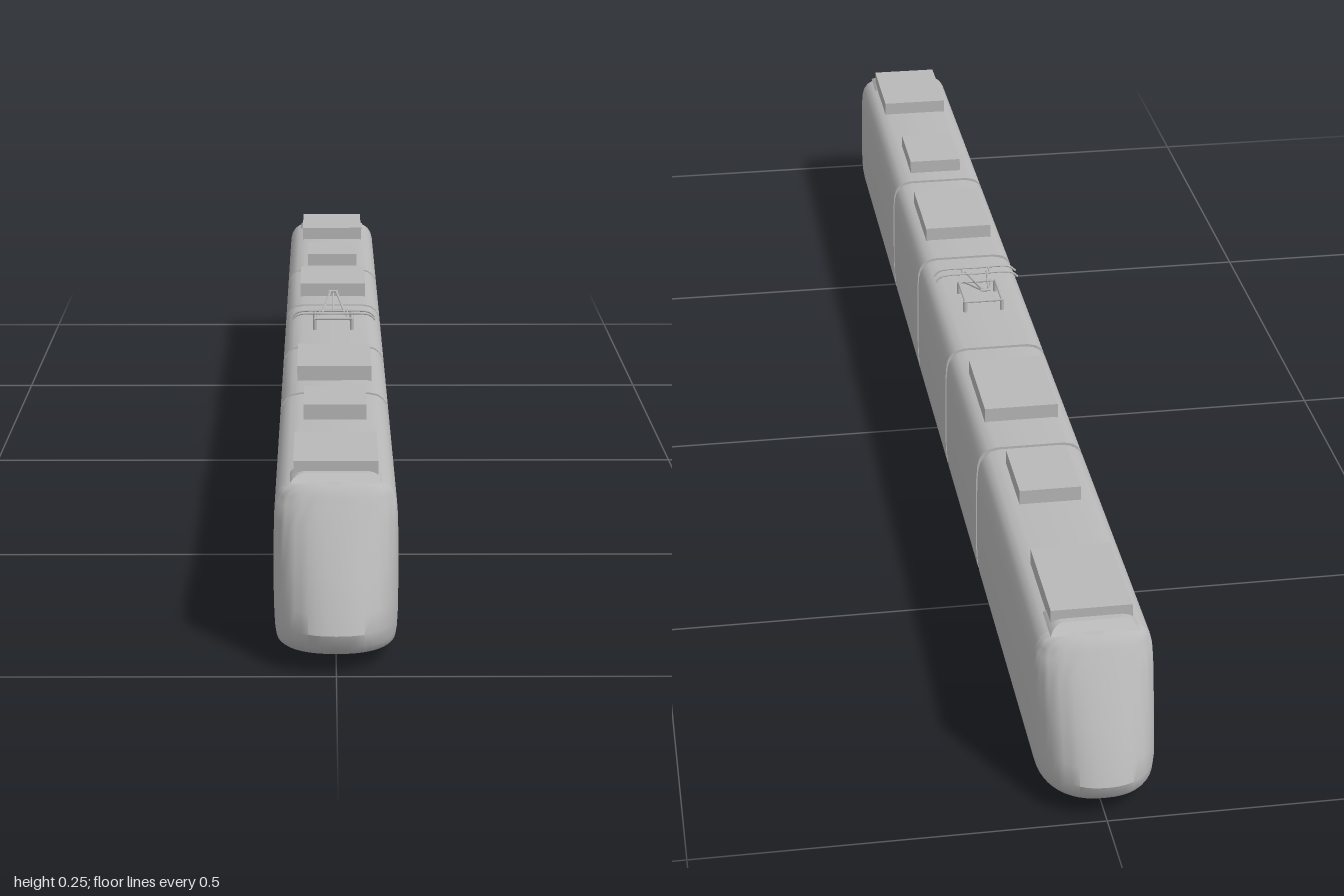
import * as THREE from 'three';
import { toCreasedNormals } from 'three/addons/utils/BufferGeometryUtils.js';

// Body side profile: height, half width, z of the nose tip at that height
const PROFILE = [
  [0.018, 0, 0.972], [0.018, 0.068, 0.972], [0.022, 0.0705, 0.984], [0.032, 0.072, 0.995],
  [0.048, 0.073, 1.0], [0.07, 0.0735, 0.991], [0.11, 0.0735, 0.969], [0.16, 0.073, 0.94],
  [0.18, 0.0715, 0.927], [0.19, 0.069, 0.921], [0.198, 0.064, 0.915], [0.203, 0.057, 0.909],
  [0.2055, 0.045, 0.905], [0.2055, 0, 0.905],
];

// Closed hull: each profile level is a loop of [x fraction, z] columns
function hull(columnsAt) {
  const rows = PROFILE.map(([y, w, tip]) => columnsAt(tip).map(([f, z]) => [f * w, y, z]));
  const n = rows[0].length, index = [];
  for (let i = 0; i < rows.length - 1; i++) {
    for (let j = 0; j < n; j++) {
      const a = i * n + j, b = i * n + (j + 1) % n;
      index.push(a, a + n, b, b, a + n, b + n);
    }
  }
  const g = new THREE.BufferGeometry();
  g.setAttribute('position', new THREE.Float32BufferAttribute(rows.flat(2), 3));
  g.setIndex(index);
  return toCreasedNormals(g, 0.6);
}

// Straight car section between two z values
const straight = (z0, z1) => hull(() => [[1, z0], [1, z1], [-1, z1], [-1, z0]]);

// End car with a rounded, raked nose
const cab = (z0) => hull((tip) => {
  const start = 0.89, cols = [[1, z0]];
  for (let k = 0; k <= 24; k++) {
    const t = Math.PI * k / 24, c = Math.cos(t), s = Math.max(0, Math.sin(t));
    cols.push([Math.sign(c) * Math.abs(c) ** 0.85, start + (tip - start) * s ** 0.85]);
  }
  cols.push([-1, z0]);
  return cols;
});

export function createModel() {
  const tram = new THREE.Group();
  tram.name = 'tram';
  const grey = new THREE.MeshStandardMaterial({ color: 0xb8b8b8 });
  grey.name = 'grey';

  const add = (name, geometry, x = 0, y = 0, z = 0, parent = tram) => {
    const m = new THREE.Mesh(geometry, grey);
    m.name = name;
    m.position.set(x, y, z);
    parent.add(m);
    return m;
  };

  // Car bodies
  const gap = 0.005, J1 = 0.152, J2 = 0.445;
  add('centreCar', straight(-J1 + gap, J1 - gap));
  for (const s of [1, -1]) {
    const end = new THREE.Group();
    end.name = s > 0 ? 'frontHalf' : 'rearHalf';
    end.rotation.y = s > 0 ? 0 : Math.PI;
    tram.add(end);
    add('middleCar', straight(J1 + gap, J2 - gap), 0, 0, 0, end);
    add('endCar', cab(J2 + gap), 0, 0, 0, end);

    // Recessed bellows between cars
    for (const z of [J1, J2]) {
      add('bellows', straight(-0.008, 0.008), 0, 0.005, z, end).scale.set(0.95, 0.96, 1);
    }

    // Roof equipment boxes: half width, z centre, length
    for (const [w, z, l] of [[0.05, 0.808, 0.145], [0.04, 0.538, 0.11], [0.05, 0.295, 0.145]]) {
      add('roofBox', new THREE.BoxGeometry(w * 2, 0.022, l), 0, 0.214, z, end);
    }

    // Low arched fairing above the cab
    const arch = new THREE.Shape();
    arch.moveTo(-0.054, 0);
    arch.quadraticCurveTo(-0.047, 0.009, -0.034, 0.009);
    arch.lineTo(0.034, 0.009);
    arch.quadraticCurveTo(0.047, 0.009, 0.054, 0);
    const fairing = new THREE.ExtrudeGeometry(arch, { depth: 0.055, bevelEnabled: false });
    const p = fairing.attributes.position;
    for (let i = 0; i < p.count; i++) {
      if (p.getZ(i) > 0.03) p.setZ(i, 0.055 - p.getY(i) * 1.8);
    }
    fairing.computeVertexNormals();
    add('cabFairing', fairing, 0, 0.204, 0.85, end);
  }

  // Wheels
  const wheel = new THREE.CylinderGeometry(0.018, 0.018, 0.005, 24).rotateZ(Math.PI / 2);
  for (const z of [0.73, 0.617, 0.056, -0.056, -0.617, -0.73]) {
    for (const x of [-0.047, 0.047]) add('wheel', wheel, x, 0.018, z);
  }

  // Folded pantograph
  const panto = new THREE.Group();
  panto.name = 'pantograph';
  tram.add(panto);
  const rod = (name, a, b, r = 0.0013) => {
    const path = new THREE.LineCurve3(new THREE.Vector3(...a), new THREE.Vector3(...b));
    add(name, new THREE.TubeGeometry(path, 1, r, 8), 0, 0, 0, panto);
  };
  for (const s of [-1, 1]) {
    rod('frameSide', [s * 0.027, 0.222, -0.032], [s * 0.027, 0.222, 0.034], 0.002);
    for (const z of [-0.03, 0.032]) {
      add('insulator', new THREE.CylinderGeometry(0.003, 0.003, 0.018, 10), s * 0.027, 0.213, z, panto);
    }
    rod('lowerArm', [s * 0.02, 0.224, 0.03], [s * 0.005, 0.247, -0.048]);
    rod('upperArm', [s * 0.004, 0.247, -0.048], [s * 0.016, 0.233, 0.045]);
  }
  for (const z of [-0.032, 0.034]) {
    rod('frameCross', [-0.027, 0.222, z], [0.027, 0.222, z], 0.002);
  }
  rod('knee', [-0.007, 0.247, -0.048], [0.007, 0.247, -0.048], 0.002);
  rod('controlRod', [0, 0.224, 0.01], [0, 0.245, -0.046]);

  // Collector strips with drooping horns
  for (const z of [0.036, 0.056]) {
    const bow = new THREE.CatmullRomCurve3([
      [-0.061, 0.225], [-0.053, 0.232], [-0.044, 0.234], [0, 0.234],
      [0.044, 0.234], [0.053, 0.232], [0.061, 0.225],
    ].map(([x, y]) => new THREE.Vector3(x, y, z)));
    add('collector', new THREE.TubeGeometry(bow, 32, 0.0015, 8), 0, 0, 0, panto);
  }
  for (const x of [-0.02, 0.02]) rod('collectorLink', [x, 0.233, 0.036], [x, 0.233, 0.056]);

  return tram;
}
